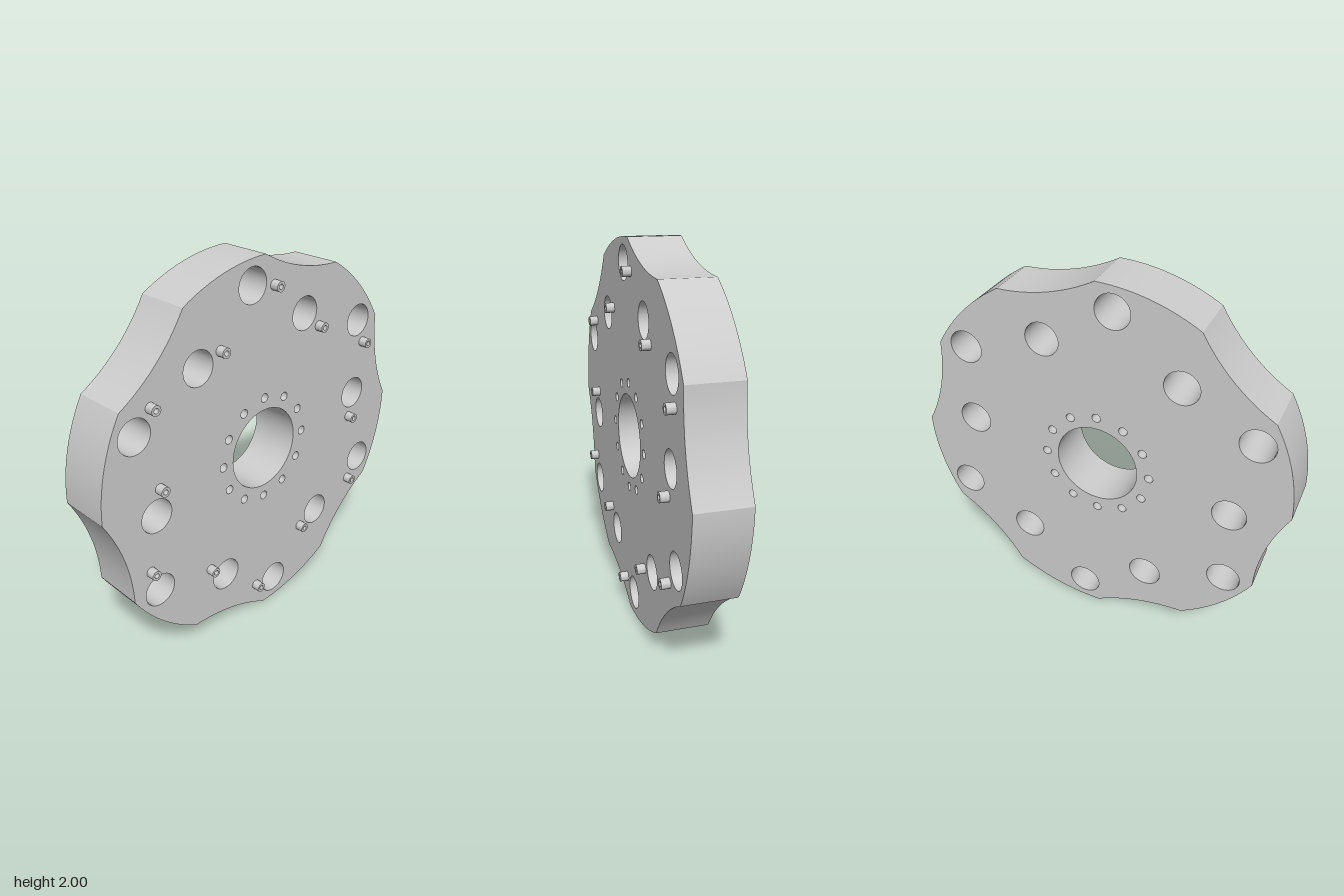
import * as THREE from 'three';
import { toCreasedNormals } from 'three/addons/utils/BufferGeometryUtils.js';

const BACK = -0.159, FACE = 0.114, PIN_TOP = 0.159;
const CREASE = 0.4;
const rad = THREE.MathUtils.degToRad;
const polar = (r, deg) => new THREE.Vector2(r * Math.cos(rad(deg)), r * Math.sin(rad(deg)));

// Scalloped rim: twelve 30-degree arcs of radius 1, alternately hollow and bulging
function rimOutline() {
  const points = [], steps = 12;
  for (let k = 0; k < 12; k++) {
    const start = k * 30, hollow = k % 2 === 0;
    const mirrorCentre = polar(1, start).add(polar(1, start + 30));
    for (let i = 0; i < steps; i++) {
      const t = (i / steps) * 30;
      points.push(hollow
        ? mirrorCentre.clone().sub(polar(1, start + 30 - t))
        : polar(1, start + t));
    }
  }
  return points;
}

function addHole(shape, centre, radius) {
  const hole = new THREE.Path();
  hole.absarc(centre.x, centre.y, radius, 0, Math.PI * 2, true);
  shape.holes.push(hole);
}

export function createModel() {
  const model = new THREE.Group();
  model.name = 'scallopedDisc';
  const material = new THREE.MeshStandardMaterial({ color: 0xcccccc });

  // Disc with bore, ring of bolt holes and two staggered rings of large holes
  const shape = new THREE.Shape(rimOutline());
  addHole(shape, new THREE.Vector2(0, 0), 0.219);
  for (let k = 0; k < 12; k++) addHole(shape, polar(0.283, k * 30), 0.023);
  for (let k = 0; k < 6; k++) {
    addHole(shape, polar(0.875, 35.5 + k * 60), 0.088);
    addHole(shape, polar(0.709, 6.8 + k * 60), 0.088);
  }
  const discGeometry = new THREE.ExtrudeGeometry(shape, {
    depth: FACE - BACK, bevelEnabled: false, curveSegments: 24,
  });
  discGeometry.translate(0, 0, BACK);
  const disc = new THREE.Mesh(toCreasedNormals(discGeometry, CREASE), material);
  disc.name = 'disc';

  // Hollow pins, one beside each large hole
  const profile = [[0.026, 0], [0.026, PIN_TOP - FACE], [0.013, PIN_TOP - FACE], [0.013, 0]]
    .map(([r, h]) => new THREE.Vector2(r, h));
  const pinLathe = new THREE.LatheGeometry(profile, 24);
  pinLathe.rotateX(Math.PI / 2);
  const pinGeometry = toCreasedNormals(pinLathe, CREASE);
  const pins = new THREE.Group();
  pins.name = 'pins';
  for (let k = 0; k < 6; k++) {
    for (const [ring, radius, angle] of [['outer', 0.847, 26.2], ['inner', 0.681, -4.6]]) {
      const p = polar(radius, angle + k * 60);
      const pin = new THREE.Mesh(pinGeometry, material);
      pin.name = `${ring}Pin${k + 1}`;
      pin.position.set(p.x, p.y, FACE);
      pins.add(pin);
    }
  }

  // Stand the disc upright with its pins towards +x
  model.add(disc, pins);
  model.rotation.y = Math.PI / 2;
  model.position.y = 1;
  const root = new THREE.Group();
  root.name = 'wheel';
  root.add(model);
  return root;
}
